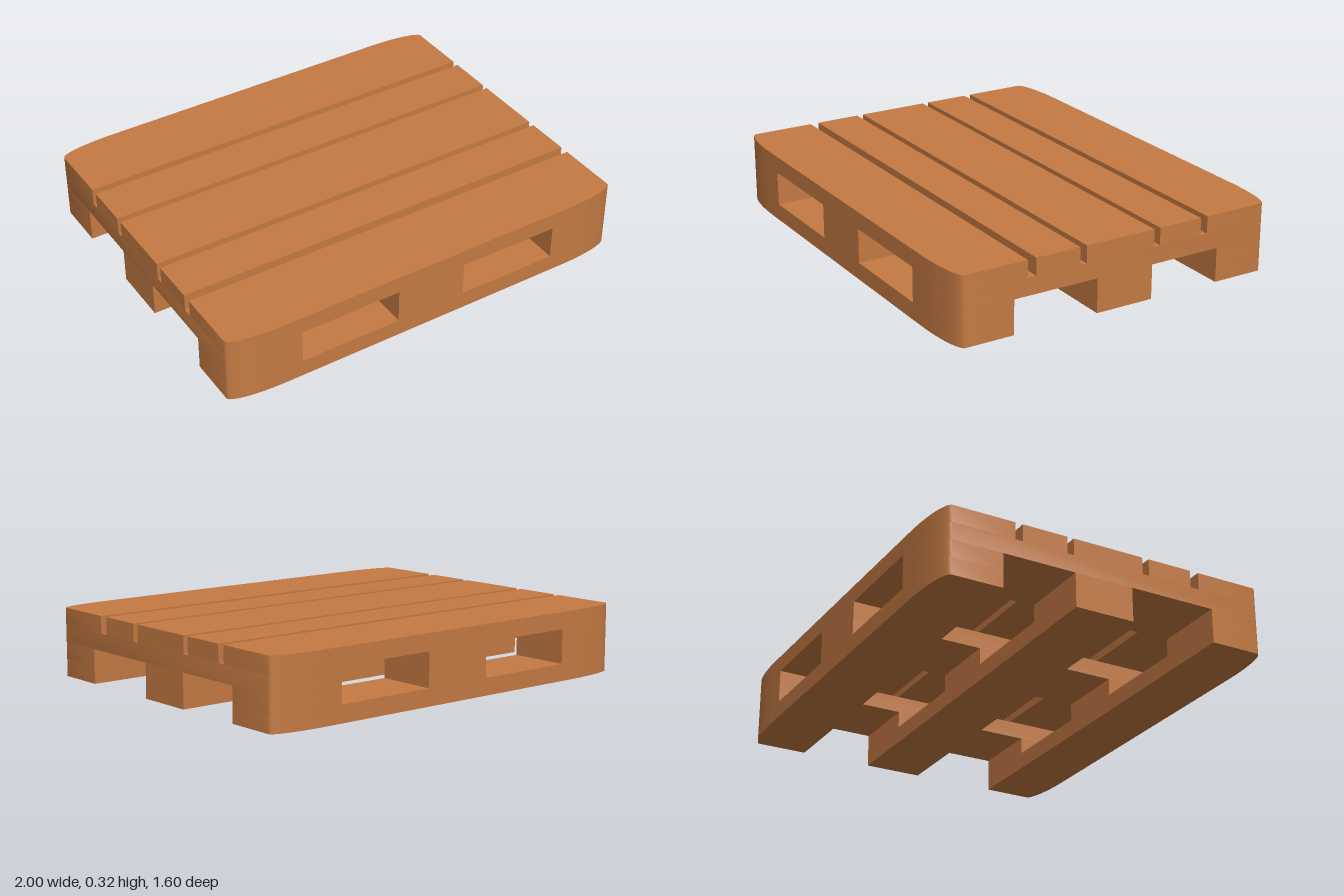
import * as THREE from 'three';
import { toCreasedNormals } from 'three/addons/utils/BufferGeometryUtils.js';

const HALF_X = 1, HALF_Z = 0.8;   // footprint
const RX = 0.27, RZ = 0.05;       // elliptical rounding of the four outer corners
const LAYER = 0.08;               // thickness of every plank layer

// Horizontal slab; any corner lying on the pallet's outer corner is rounded.
function slabGeometry([x0, x1], [z0, z1], y, height) {
  const corners = [[x0, -z1, -1, -1], [x1, -z1, 1, -1], [x1, -z0, 1, 1], [x0, -z0, -1, 1]];
  const points = [];
  corners.forEach(([x, v, sx, sv], i) => {
    const outer = x === sx * HALF_X && v === sv * HALF_Z;
    if (!outer) return points.push(new THREE.Vector2(x, v));
    for (let k = 0; k <= 12; k++) {
      const a = Math.PI * (1 + i / 2 + k / 24);
      points.push(new THREE.Vector2(x - sx * RX + RX * Math.cos(a), v - sv * RZ + RZ * Math.sin(a)));
    }
  });
  const geometry = new THREE.ExtrudeGeometry(new THREE.Shape(points), { depth: height, bevelEnabled: false });
  geometry.rotateX(-Math.PI / 2).translate(0, y, 0);
  return toCreasedNormals(geometry, 0.6);
}

export function createModel() {
  const pallet = new THREE.Group();
  pallet.name = 'pallet';
  const wood = new THREE.MeshStandardMaterial({ color: 0xc47a43 });

  function add(name, xRange, zRange, y, height = LAYER) {
    const mesh = new THREE.Mesh(slabGeometry(xRange, zRange, y, height), wood);
    mesh.name = name;
    pallet.add(mesh);
  }

  const fullX = [-HALF_X, HALF_X], fullZ = [-HALF_Z, HALF_Z];
  const columns = [[-HALF_X, -0.655], [-0.17, 0.17], [0.655, HALF_X]];
  const skids = [[-HALF_Z, -0.515], [-0.17, 0.11], [0.52, HALF_Z]];
  const boards = [[-HALF_Z, -0.457], [-0.422, -0.207], [-0.176, 0.167], [0.199, 0.414], [0.456, HALF_Z]];

  // Bottom runners with the spacer blocks standing on them
  skids.forEach((z) => {
    add('bottomRunner', fullX, z, 0);
    columns.forEach((x) => add('spacerBlock', x, z, LAYER));
  });

  // Cross stringers running front to back
  columns.forEach((x) => add('stringer', x, fullZ, 2 * LAYER));

  // Deck boards running left to right
  boards.forEach((z) => add('deckBoard', fullX, z, 3 * LAYER));

  return pallet;
}
